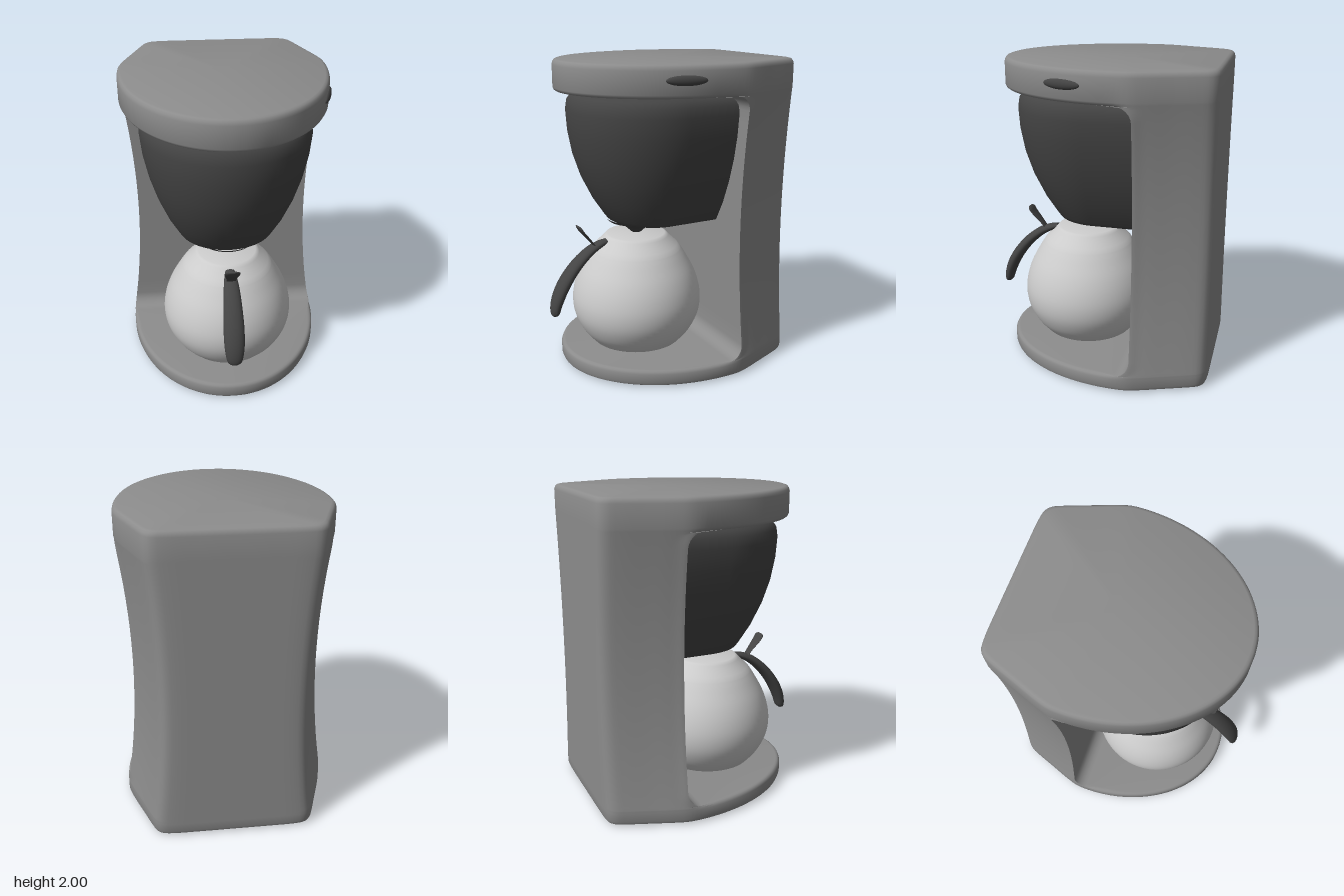
import * as THREE from 'three';
import { toCreasedNormals } from 'three/addons/utils/BufferGeometryUtils.js';

const mat = (color, side = THREE.FrontSide) => new THREE.MeshStandardMaterial({ color, side });
const shellMat = mat(0x8c8c8c);
const darkMat = mat(0x444444);
const glassMat = mat(0xcccccc, THREE.DoubleSide);

// Skin over closed rings of equal length, capped at both ends
function loft(rings, crease = 0.6) {
  const n = rings[0].length, pos = [], idx = [];
  rings.forEach(r => r.forEach(p => pos.push(p.x, p.y, p.z)));
  for (let i = 0; i < rings.length - 1; i++) {
    for (let j = 0; j < n; j++) {
      const a = i * n + j, b = i * n + (j + 1) % n;
      idx.push(a, b, b + n, a, b + n, a + n);
    }
  }
  [0, rings.length - 1].forEach((ri, end) => {
    const c = new THREE.Vector3();
    rings[ri].forEach(p => c.addScaledVector(p, 1 / n));
    const ci = pos.length / 3;
    pos.push(c.x, c.y, c.z);
    for (let j = 0; j < n; j++) {
      const a = ri * n + j, b = ri * n + (j + 1) % n;
      if (end) idx.push(ci, a, b); else idx.push(ci, b, a);
    }
  });
  const g = new THREE.BufferGeometry();
  g.setAttribute('position', new THREE.Float32BufferAttribute(pos, 3));
  g.setIndex(idx);
  return toCreasedNormals(g, crease);
}

// Mirror a front-to-back half outline into a closed ring
const mirrorRing = half => [
  ...half,
  ...half.slice(1, -1).reverse().map(p => new THREE.Vector3(-p.x, p.y, p.z)),
];

function mesh(name, geometry, material) {
  const m = new THREE.Mesh(geometry, material);
  m.name = name;
  return m;
}

// Base, rear column and lid in one C-shaped skin
function housingGeometry() {
  const pts = [];
  for (let i = 0; i <= 14; i++) {
    const t = (i / 14) * Math.PI / 2;
    pts.push(new THREE.Vector3(0.66 * Math.sin(t), 0, -0.2 + 0.86 * Math.cos(t)));
  }
  [[0.655, -0.28], [0.632, -0.36], [0.58, -0.5], [0.52, -0.66], [0.497, -0.71],
    [0.46, -0.742], [0.4, -0.752], [0.2, -0.755], [0, -0.755]]
    .forEach(([x, z]) => pts.push(new THREE.Vector3(x, 0, z)));
  const half = new THREE.CatmullRomCurve3(pts, false, 'centripetal').getSpacedPoints(80);
  half[0].x = half[80].x = 0;

  // Each slice: height, inset all round, inset at the front lip, front limit of z
  const open = 2, r = 0.09, front = -0.29;
  const slices = [
    [0, 0.05, 0, open], [0.007, 0.022, 0, open], [0.016, 0.007, 0, open], [0.035, 0, 0, open],
    [0.09, 0, 0, open], [0.104, 0, 0.006, open], [0.111, 0, 0.016, open], [0.113, 0, 0.028, open],
  ];
  const fillet = [];
  for (let i = 0; i <= 6; i++) {
    const a = (i / 6) * Math.PI / 2;
    fillet.push([r * (1 - Math.cos(a)), front + r * (1 - Math.sin(a))]);
  }
  fillet.forEach(([dy, zf]) => slices.push([0.114 + dy, 0, 0, zf]));
  for (let i = 1; i < 16; i++) slices.push([0.204 + (i / 16) * 1.51, 0, 0, front]);
  [...fillet].reverse().forEach(([dy, zf]) => slices.push([1.804 - dy, 0, 0, zf]));
  slices.push(
    [1.805, 0, 0.028, open], [1.807, 0, 0.016, open], [1.814, 0, 0.006, open], [1.828, 0, 0, open],
    [1.965, 0, 0, open], [1.983, 0.005, 0, open], [1.995, 0.015, 0, open], [2, 0.03, 0, open]);

  const k = 0.08; // softness of the column's front corners
  return loft(slices.map(([y, inset, lip, zf]) => mirrorRing(half.map(p => {
    const e = inset + lip * THREE.MathUtils.smoothstep(p.z, -0.29, -0.1);
    const waist = 1 - 0.112 * Math.max(0, 1 - ((y - 0.97) / 0.86) ** 2);
    const z = -0.05 + (p.z + 0.05) * (1 - e / 0.7);
    const h = Math.max(k - Math.abs(z - zf), 0) / k;
    return new THREE.Vector3(p.x * (1 - e / 0.66) * waist, y, Math.min(z, zf) - h * h * k / 4);
  }))));
}

// Filter holder: half-round front running straight back into the column
function filterGeometry() {
  const sections = [ // height, half width, front z
    [0.955, 0.29, 0.3], [0.963, 0.308, 0.325], [0.985, 0.322, 0.343], [1.1, 0.385, 0.42],
    [1.25, 0.447, 0.495], [1.4, 0.493, 0.545], [1.55, 0.524, 0.572], [1.68, 0.537, 0.58],
    [1.74, 0.53, 0.57], [1.775, 0.51, 0.545], [1.795, 0.475, 0.5], [1.805, 0.42, 0.43]];
  const zc = 0.04;
  return loft(sections.map(([y, w, f]) => {
    const half = [];
    for (let i = 0; i <= 24; i++) {
      const t = (i / 24) * Math.PI / 2;
      half.push(new THREE.Vector3(w * Math.sin(t), y, zc + (f - zc) * Math.cos(t)));
    }
    half.push(new THREE.Vector3(w, y, -0.32), new THREE.Vector3(0, y, -0.32));
    return mirrorRing(half);
  }));
}

// Oval bar along a path in the middle plane; each point is [half width, y, z], bottom to top
function ovalBar(points, ratio) {
  const curve = new THREE.CatmullRomCurve3(points.map(p => new THREE.Vector3(...p)));
  const X = new THREE.Vector3(1, 0, 0), rings = [];
  for (let i = 0; i <= 32; i++) {
    const p = curve.getPoint(i / 32), T = curve.getTangent(i / 32).setX(0).normalize();
    const N = X.clone().cross(T), ring = [];
    for (let j = 0; j < 20; j++) {
      const a = (j / 20) * Math.PI * 2;
      ring.push(new THREE.Vector3(0, p.y, p.z)
        .addScaledVector(N, p.x * ratio * Math.cos(a))
        .addScaledVector(X, p.x * Math.sin(a)));
    }
    rings.push(ring);
  }
  return loft(rings, 0.9);
}

function lathe(profile, z) {
  const pts = profile.map(([x, y]) => new THREE.Vector2(x, y));
  return toCreasedNormals(new THREE.LatheGeometry(pts, 64), 0.6).translate(0, 0, z);
}

export function createModel() {
  const model = new THREE.Group();
  model.name = 'coffeeMaker';

  model.add(mesh('housing', housingGeometry(), shellMat));
  model.add(mesh('filterHolder', filterGeometry(), darkMat));
  model.add(mesh('dripSpout', lathe([[0, 0.858], [0.03, 0.86], [0.045, 0.872], [0.065, 0.893],
    [0.1, 0.918], [0.14, 0.935], [0.185, 0.947], [0.2, 0.965]], 0.14), darkMat));

  // Power switch on the side of the lid
  const button = mesh('switch', new THREE.SphereGeometry(1, 32, 16), darkMat);
  button.scale.set(0.022, 0.031, 0.122);
  button.position.set(0.606, 1.91, 0.12);
  button.rotation.y = -0.29;
  model.add(button);

  // Jug with handle and lid lever
  const jug = new THREE.Group();
  jug.name = 'jug';
  const belly = new THREE.SplineCurve([[0.305, 0.122], [0.37, 0.2], [0.418, 0.3], [0.433, 0.4],
    [0.42, 0.5], [0.385, 0.6], [0.33, 0.7], [0.295, 0.755]].map(p => new THREE.Vector2(...p)));
  jug.add(mesh('jugBody', lathe([[0, 0.114], [0.285, 0.114],
    ...belly.getPoints(32).map(p => [p.x, p.y]),
    [0.275, 0.778], [0.245, 0.805], [0.215, 0.838], [0.203, 0.85], [0.19, 0.855], [0, 0.855]], 0.142), glassMat));
  jug.add(mesh('handle', ovalBar([[0.012, 0.37, 0.733], [0.042, 0.385, 0.735], [0.06, 0.46, 0.72],
    [0.066, 0.57, 0.67], [0.06, 0.69, 0.58], [0.05, 0.775, 0.48], [0.04, 0.81, 0.41],
    [0.03, 0.825, 0.36]], 0.58), darkMat));
  jug.add(mesh('lidLever', ovalBar([[0.03, 0.81, 0.45], [0.034, 0.85, 0.48], [0.047, 0.91, 0.53],
    [0.048, 0.94, 0.55], [0.03, 0.953, 0.56]], 0.2), darkMat));
  model.add(jug);

  return model;
}
